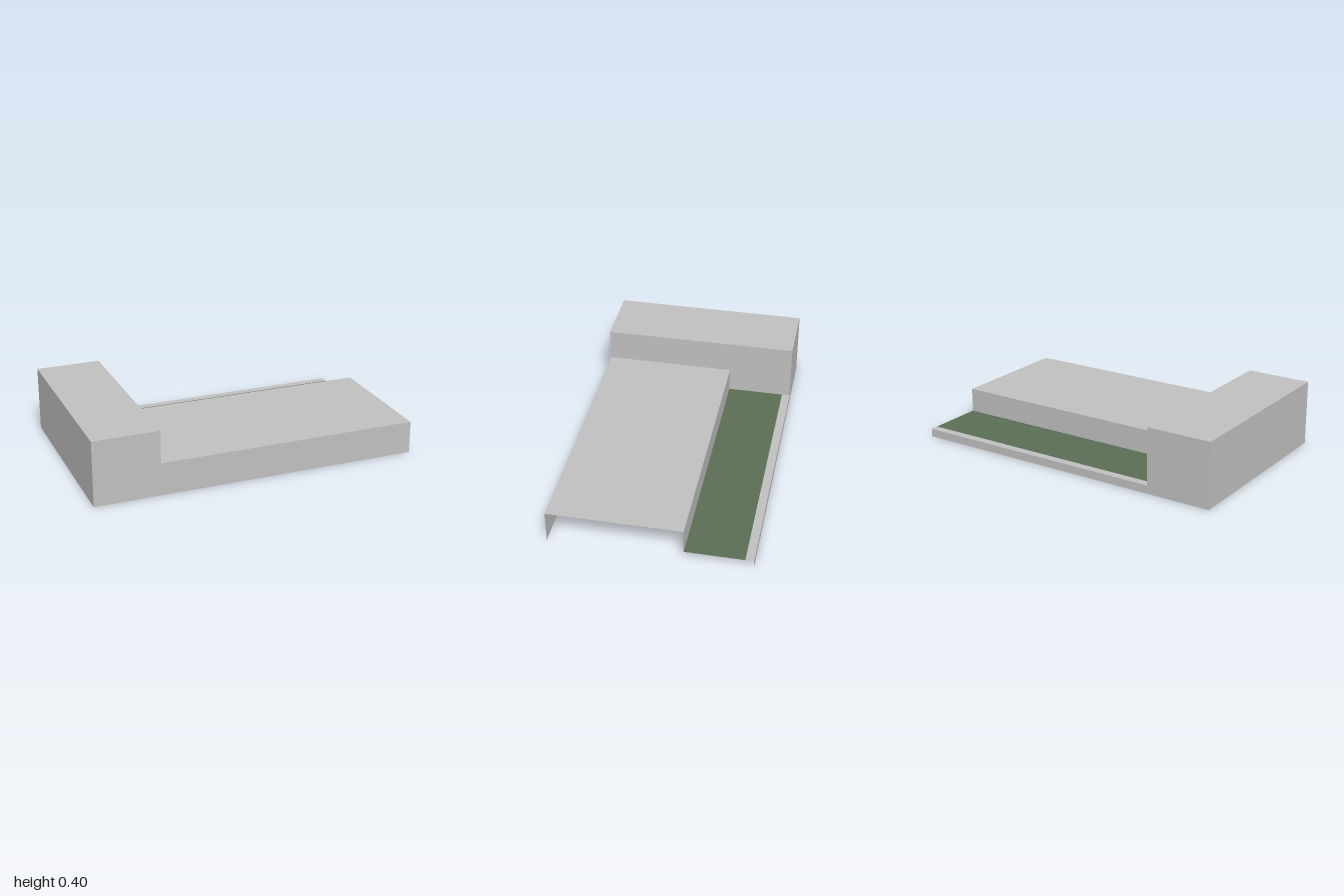
import * as THREE from 'three';

export function createModel() {
  const group = new THREE.Group();
  const grey = new THREE.MeshStandardMaterial({ color: 0xc0c0c0, side: THREE.DoubleSide });
  grey.name = 'light grey';
  const green = new THREE.MeshStandardMaterial({ color: 0x5a6e54, side: THREE.DoubleSide });
  green.name = 'grass green';

  const add = (name, geometry, material = grey) => {
    const mesh = new THREE.Mesh(geometry, material);
    mesh.name = name;
    group.add(mesh);
    return mesh;
  };

  // Horizontal sheet facing up
  const deck = (name, x0, x1, z0, z1, y, material) =>
    add(name, new THREE.PlaneGeometry(x1 - x0, z1 - z0).rotateX(-Math.PI / 2), material)
      .position.set((x0 + x1) / 2, y, (z0 + z1) / 2);

  // Upright wall across z, facing +z (side 1) or -z (side -1)
  const wallZ = (name, x0, x1, y0, y1, z, side) =>
    add(name, new THREE.PlaneGeometry(x1 - x0, y1 - y0).rotateY(side > 0 ? 0 : Math.PI))
      .position.set((x0 + x1) / 2, (y0 + y1) / 2, z);

  // Upright wall across x, facing +x (side 1) or -x (side -1)
  const wallX = (name, z0, z1, y0, y1, x, side) =>
    add(name, new THREE.PlaneGeometry(z1 - z0, y1 - y0).rotateY(side * Math.PI / 2))
      .position.set(x, (y0 + y1) / 2, (z0 + z1) / 2);

  // Sheets: raised block, main platform, planted ledge and its kerb
  deck('blockRoof', -1, -0.6, -0.6, 0.6, 0.4);
  deck('platformTop', -0.6, 1, -0.2, 0.6, 0.2);
  deck('grassStrip', -0.6, 1, -0.55, -0.2, 0.05, green);
  deck('kerbTop', -0.6, 1, -0.6, -0.55, 0.05);

  // Front walls
  wallZ('blockFront', -1, -0.6, 0, 0.4, 0.6, 1);
  wallZ('platformFront', -0.6, 1, 0, 0.2, 0.6, 1);

  // Back walls
  wallZ('blockBack', -1, -0.6, 0, 0.4, -0.6, -1);
  wallZ('platformBack', -0.6, 1, 0.05, 0.2, -0.2, -1);
  wallZ('kerbBack', -0.6, 1, 0, 0.05, -0.6, -1);

  // Block ends; the far end and the underside of the shell stay open
  wallX('blockOuterEnd', -0.6, 0.6, 0, 0.4, -1, -1);
  wallX('blockInnerEndFront', -0.2, 0.6, 0.2, 0.4, -0.6, 1);
  wallX('blockInnerEndBack', -0.6, -0.2, 0.05, 0.4, -0.6, 1);

  return group;
}
